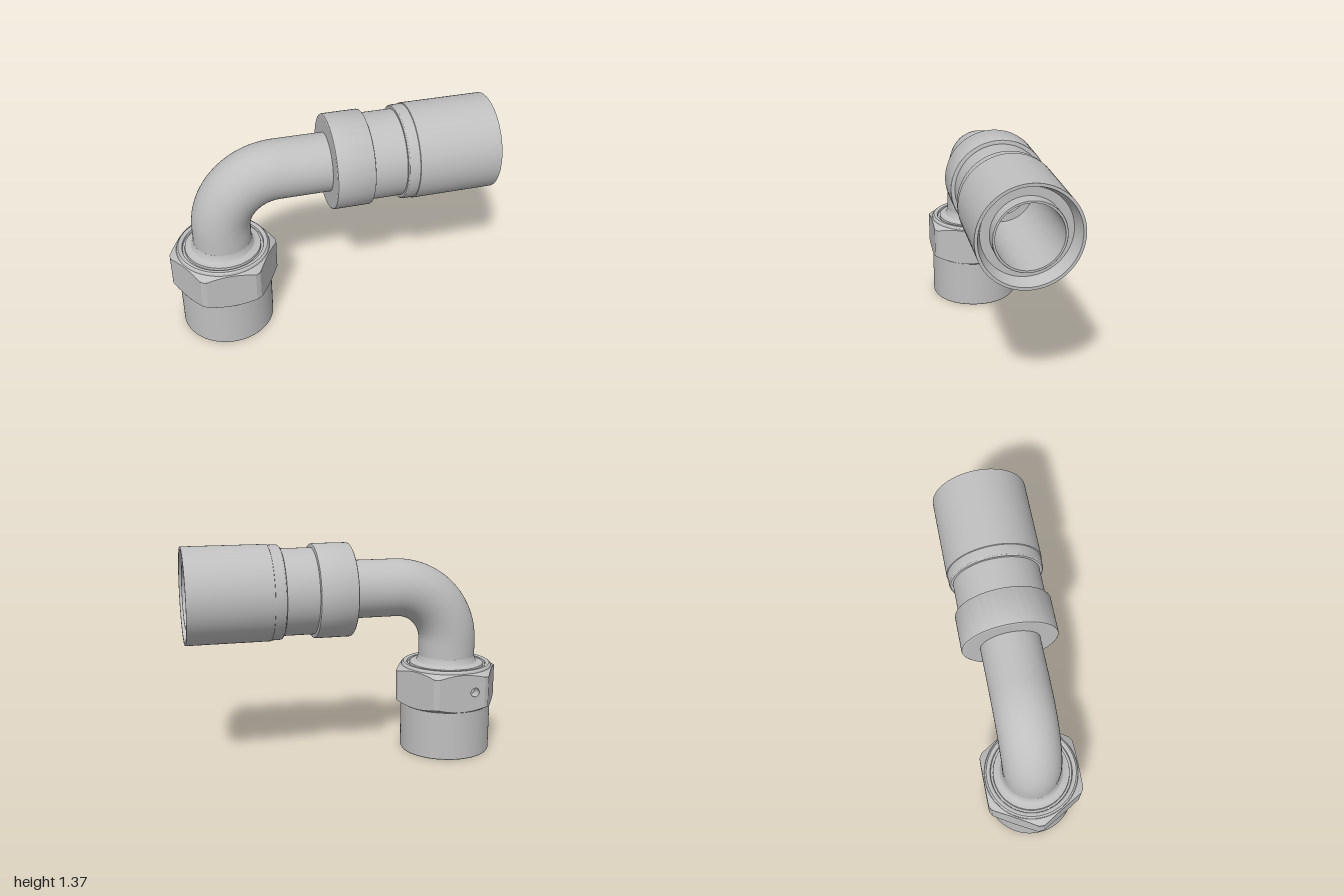
import * as THREE from 'three';
import { toCreasedNormals } from 'three/addons/utils/BufferGeometryUtils.js';
import { ParametricGeometry } from 'three/addons/geometries/ParametricGeometry.js';

const steel = new THREE.MeshStandardMaterial({ color: 0xbfbfbf, side: THREE.DoubleSide });
steel.name = 'steel grey';

const AXIS_X = -0.67;  // vertical axis of the nut end
const AXIS_Y = 1.075;  // horizontal axis of the sleeve end

function part(name, geometry) {
  const mesh = new THREE.Mesh(geometry, steel);
  mesh.name = name;
  return mesh;
}

// Revolved profile of [radius, height] pairs with sharp edges kept
function turned(profile) {
  const points = profile.map(([r, y]) => new THREE.Vector2(r, y));
  return toCreasedNormals(new THREE.LatheGeometry(points, 80), 0.5);
}

// Centre line: up, quarter bend, then along +x
function elbowPath() {
  const v = (x, y) => new THREE.Vector3(x, y, 0);
  const R = 0.355, k = R * 0.5523;
  const y0 = AXIS_Y - R, x1 = AXIS_X + R;
  const path = new THREE.CurvePath();
  path.add(new THREE.LineCurve3(v(AXIS_X, 0.58), v(AXIS_X, y0)));
  path.add(new THREE.CubicBezierCurve3(v(AXIS_X, y0), v(AXIS_X, y0 + k), v(x1 - k, AXIS_Y), v(x1, AXIS_Y)));
  path.add(new THREE.LineCurve3(v(x1, AXIS_Y), v(0.1, AXIS_Y)));
  return path;
}

// Hexagonal nut with chamfered, slightly rounded corners and one pin hole
function makeNut() {
  const nut = new THREE.Group();
  nut.name = 'hexNut';
  const flat = 0.297, corner = 0.333;
  const top = r => 0.555 - (r - flat) * 0.6;
  const bottom = r => 0.315 + (r - flat) * 0.6;
  const half = Math.sqrt(corner * corner - flat * flat);
  const halfAngle = Math.acos(flat / corner);
  const cornerArc = Math.PI / 3 - 2 * halfAngle;

  for (let i = 0; i < 6; i++) {
    const shape = new THREE.Shape();
    const n = 16;
    for (let j = 0; j <= n; j++) {
      const x = -half + 2 * half * j / n;
      const y = bottom(Math.hypot(x, flat));
      if (j) shape.lineTo(x, y); else shape.moveTo(x, y);
    }
    for (let j = n; j >= 0; j--) {
      const x = -half + 2 * half * j / n;
      shape.lineTo(x, top(Math.hypot(x, flat)));
    }
    if (i === 3) {
      const hole = new THREE.Path();
      hole.absarc(0.085, 0.44, 0.028, 0, Math.PI * 2, true);
      shape.holes.push(hole);
    }
    const face = new THREE.ShapeGeometry(shape, 24);
    face.translate(0, 0, flat).rotateY(i * Math.PI / 3);
    nut.add(part('nutFlat', face));

    const h = top(corner) - bottom(corner);
    const edge = new THREE.CylinderGeometry(corner, corner, h, 4, 1, true, i * Math.PI / 3 + halfAngle, cornerArc);
    edge.translate(0, bottom(corner) + h / 2, 0);
    nut.add(part('nutCorner', edge));
  }

  // Conical chamfers following the hexagon outline
  for (const height of [top, bottom]) {
    const ring = new ParametricGeometry((u, v, target) => {
      const a = u * Math.PI * 2;
      const step = Math.PI / 3;
      const local = a - Math.round(a / step) * step;
      const outer = Math.min(flat / Math.cos(local), corner);
      const r = 0.27 + (outer - 0.27) * v;
      target.set(Math.sin(a) * r, height(r), Math.cos(a) * r);
    }, 144, 2);
    nut.add(part('nutChamfer', ring));
  }

  const wall = new THREE.CylinderGeometry(0.028, 0.028, 0.07, 24, 1, true);
  wall.rotateX(Math.PI / 2).translate(-0.085, 0.44, -flat + 0.035);
  nut.add(part('pinHoleWall', wall));
  nut.position.x = AXIS_X;
  return nut;
}

export function createModel() {
  const model = new THREE.Group();
  model.name = 'elbowFitting';

  // Hollow bent pipe
  const path = elbowPath();
  model.add(part('elbowPipe', new THREE.TubeGeometry(path, 100, 0.18, 56)));
  model.add(part('elbowBore', new THREE.TubeGeometry(path, 100, 0.14, 48)));

  // Threaded end body with rounded collar and fillet up to the pipe
  const body = part('nutSkirt', turned([
    [0.235, 0.012], [0.26, 0.012], [0.268, 0], [0.285, 0], [0.29, 0.008],
    [0.29, 0.33], [0.25, 0.33], [0.25, 0.54], [0.29, 0.54], [0.29, 0.56],
    [0.286, 0.571], [0.277, 0.578], [0.262, 0.578], [0.253, 0.573], [0.25, 0.56],
    [0.237, 0.56], [0.235, 0.575], [0.21, 0.578], [0.195, 0.586], [0.185, 0.602],
    [0.18, 0.625], [0.14, 0.625], [0.14, 0.45], [0.235, 0.45], [0.235, 0.012],
  ]));
  body.position.x = AXIS_X;
  model.add(body, makeNut());

  // Crimped sleeve with collar, waist and recessed mouth
  const sleeve = turned([
    [0.17, -0.01], [0.282, -0.01], [0.288, -0.006], [0.29, 0.002], [0.29, 0.212],
    [0.287, 0.219], [0.28, 0.222], [0.265, 0.222], [0.265, 0.42], [0.28, 0.42],
    [0.286, 0.426], [0.288, 0.436], [0.288, 0.49], [0.293, 0.492], [0.293, 1],
    [0.276, 1], [0.25, 0.92], [0.2, 0.92],
  ]);
  // Inner nipple reaching back to the pipe bore
  const nipple = turned([
    [0.2, 0.92], [0.2, 0.985], [0.197, 0.99], [0.185, 0.99], [0.185, 0.3], [0.14, 0.3], [0.14, 0.09],
  ]);
  for (const [name, geometry] of [['crimpSleeve', sleeve], ['innerNipple', nipple]]) {
    geometry.rotateZ(-Math.PI / 2);
    const mesh = part(name, geometry);
    mesh.position.y = AXIS_Y;
    model.add(mesh);
  }

  return model;
}
